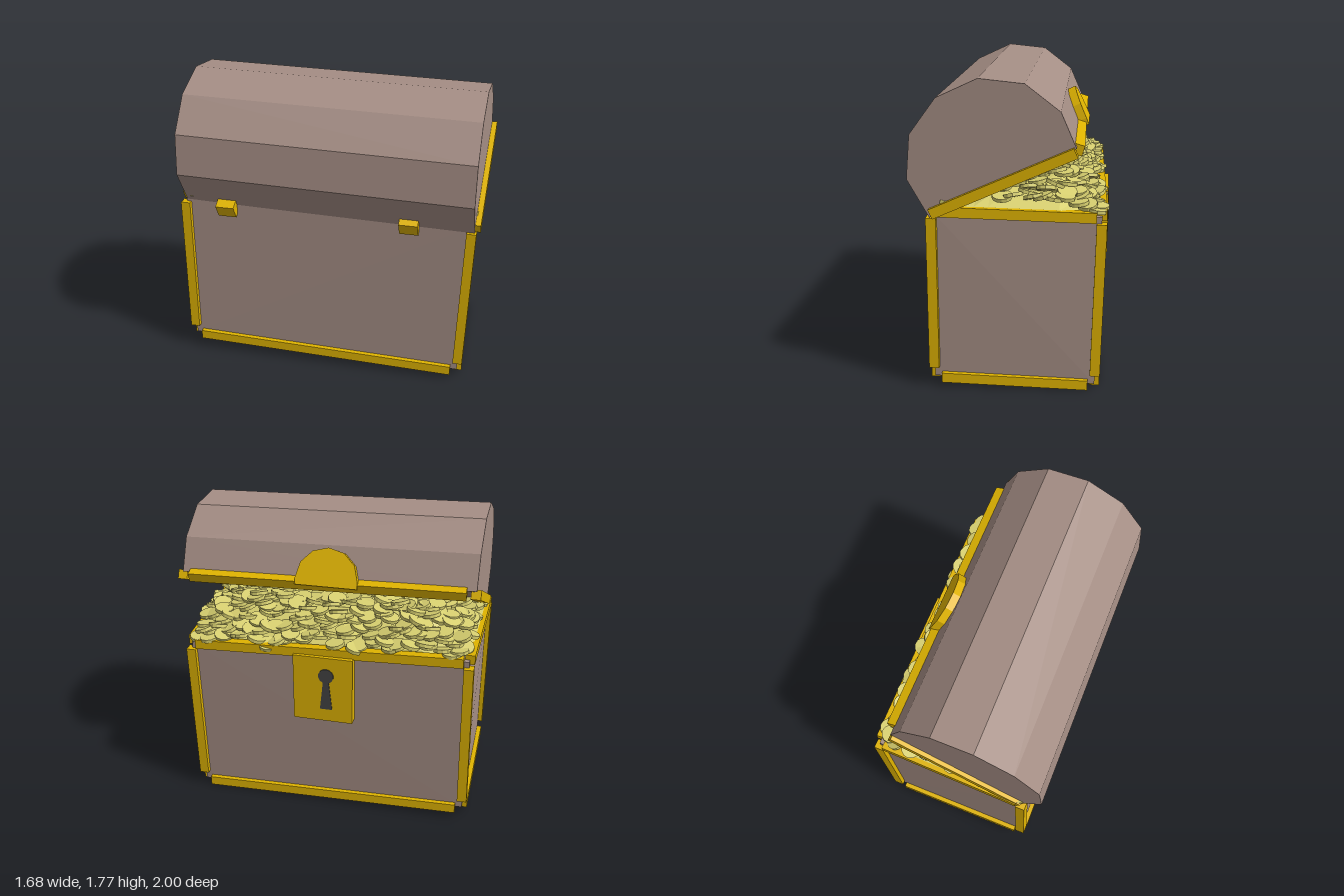
import * as THREE from 'three';
import { ConvexGeometry } from 'three/addons/geometries/ConvexGeometry.js';
import { mergeGeometries } from 'three/addons/utils/BufferGeometryUtils.js';

const V = (x, y, z) => new THREE.Vector3(x, y, z);
const paint = (color) => new THREE.MeshStandardMaterial({ color, flatShading: true });
const YAW = 2.009; // heading of the chest front
const FRONT = V(0.905, 0, -0.424);

export function createModel() {
  const chest = new THREE.Group();
  chest.name = 'treasureChest';
  const wood = paint(0xa58e85), gold = paint(0xe0b400), dark = paint(0x454545), coinMat = paint(0xd8d070);
  coinMat.side = THREE.DoubleSide;

  const add = (name, geometry, material, parent = chest) => {
    const m = new THREE.Mesh(geometry, material);
    m.name = name;
    parent.add(m);
    return m;
  };

  // Square bar from a to b, shortened at both ends
  const bar = (name, a, b, insetA, insetB = insetA, ref = V(0, 1, 0), w = 0.056) => {
    const dir = b.clone().sub(a).normalize();
    const p = a.clone().addScaledVector(dir, insetA), q = b.clone().addScaledVector(dir, -insetB);
    const side = ref.clone().cross(dir).normalize();
    const m = add(name, new THREE.BoxGeometry(w, w, p.distanceTo(q)), gold);
    m.quaternion.setFromRotationMatrix(new THREE.Matrix4().makeBasis(side, dir.clone().cross(side), dir));
    m.position.copy(p).add(q).multiplyScalar(0.5);
  };

  // Group turned to the chest front and leaning back
  const mount = (name, pos, lean = 0) => {
    const g = new THREE.Group();
    g.name = name;
    g.rotation.set(-lean, YAW, 0, 'YXZ');
    g.position.copy(pos);
    chest.add(g);
    return g;
  };

  // Body: corners in the order back left, front left, front right, back right
  const low = [V(-0.02, 0.06, 0.9), V(0.775, 0.03, 0.49), V(0.065, 0.065, -0.97), V(-0.745, 0.1, -0.6)];
  const top = [V(0, 1.035, 0.925), V(0.8, 1.005, 0.492), V(0.09, 1.055, -0.967), V(-0.735, 1.06, -0.605)];
  add('body', new ConvexGeometry([...low, ...top]), wood);
  for (let i = 0; i < 4; i++) {
    const j = (i + 1) % 4;
    bar('bottomTrim', low[i], low[j], 0.04);
    bar('cornerTrim', low[i], top[i], 0.06, 0.035, FRONT);
    if (i < 3) bar('rimTrim', top[i], top[j], 0.03);
  }

  // Lid: faceted arch swept along the length of the chest
  const arch = [[0, 1.0], [-0.108, 1.207], [-0.089, 1.446], [0.042, 1.64],
    [0.244, 1.742], [0.465, 1.718], [0.634, 1.577], [0.709, 1.39]];
  const sweep = V(-0.732, 0.035, -1.545);
  const leftEnd = arch.map(([x, y]) => V(x, y, 0.942 - 0.445 * x));
  const rightEnd = leftEnd.map((p) => p.clone().add(sweep));
  add('lid', new ConvexGeometry([...leftEnd, ...rightEnd]), wood);
  const drop = V(0.008, -0.015, 0);
  const hinge = [leftEnd[0], rightEnd[0]].map((p) => p.clone().add(V(0.01, 0.025, 0)));
  const lip = [leftEnd[7], rightEnd[7]].map((p) => p.clone().add(drop));
  for (let i = 0; i < 2; i++) bar('lidEndTrim', hinge[i], lip[i], 0, 0.01);
  bar('lidFrontTrim', lip[0], lip[1], 0.05, 0.05, V(0.3, 0.9, 0));

  // Half-round latch on the lid lip
  const half = new THREE.Shape();
  half.moveTo(0.18, -0.01);
  for (let i = 0; i <= 6; i++) {
    const a = (i * Math.PI) / 6;
    half.lineTo(0.18 * Math.cos(a), 0.03 + 0.18 * Math.sin(a));
  }
  half.lineTo(-0.18, -0.01);
  const latch = mount('latch', V(0.35, 1.39, -0.17), 0.42);
  add('latchPlate', new THREE.ExtrudeGeometry(half, { depth: 0.06, bevelEnabled: false }), gold, latch).position.z = -0.02;

  // Lock plate with keyhole
  const lock = mount('lock', V(0.445, 0.81, -0.228));
  add('lockPlate', new THREE.BoxGeometry(0.35, 0.41, 0.11), gold, lock);
  const eye = add('keyholeEye', new THREE.CylinderGeometry(0.045, 0.045, 0.12, 14), dark, lock);
  eye.rotation.x = Math.PI / 2;
  eye.position.set(0.02, 0.09, 0);
  const slot = new THREE.Shape([[-0.036, -0.125], [0.036, -0.125], [0.015, 0.07], [-0.015, 0.07]]
    .map(([x, y]) => new THREE.Vector2(x, y)));
  add('keyholeSlot', new THREE.ExtrudeGeometry(slot, { depth: 0.06, bevelEnabled: false }), dark, lock).position.x = 0.02;

  // Hinges on the back
  for (const x of [-0.63, -0.16]) {
    const g = mount('hinge', V(x, 1.02, 0.942 + x * 2.08), 0.53);
    add('hingePlate', new THREE.BoxGeometry(0.11, 0.09, 0.07), gold, g).position.z = -0.01;
  }

  // Coin heap: u runs along the chest, v from back to front
  let seed = 7;
  const rnd = () => (seed = (seed * 16807) % 2147483647) / 2147483647;
  const heap = (u, v) => {
    const p = top[0].clone().lerp(top[3], u).lerp(top[1].clone().lerp(top[2], u), v);
    const ends = Math.min(1, 0.25 + 4 * Math.min(u, 1 - u));
    p.y += Math.max(0, Math.min(0.2 * ends * Math.min(1, (1 - v) / 0.25), 0.27 * v));
    return p;
  };
  const mound = new THREE.PlaneGeometry(1, 1, 16, 12);
  const pos = mound.attributes.position;
  for (let i = 0; i < pos.count; i++) {
    const p = heap(pos.getX(i) + 0.5, pos.getY(i) + 0.5);
    pos.setXYZ(i, p.x, p.y - 0.02, p.z);
  }
  add('coinMound', mound, coinMat);
  const coins = [];
  const nu = 28, nv = 16;
  for (let i = 0; i < nu; i++) {
    for (let j = 0; j < nv; j++) {
      const u = 0.015 + (0.97 * (i + rnd())) / nu, v = 0.03 + (0.96 * (j + rnd())) / nv;
      const c = new THREE.CylinderGeometry(0.055, 0.055, 0.02, 12);
      c.rotateX((rnd() - 0.5) * 0.7).rotateZ((rnd() - 0.5) * 0.7);
      const p = heap(u, v);
      c.translate(p.x, p.y + 0.005 + 0.03 * rnd(), p.z);
      coins.push(c);
    }
  }
  add('coins', mergeGeometries(coins), coinMat);
  return chest;
}
